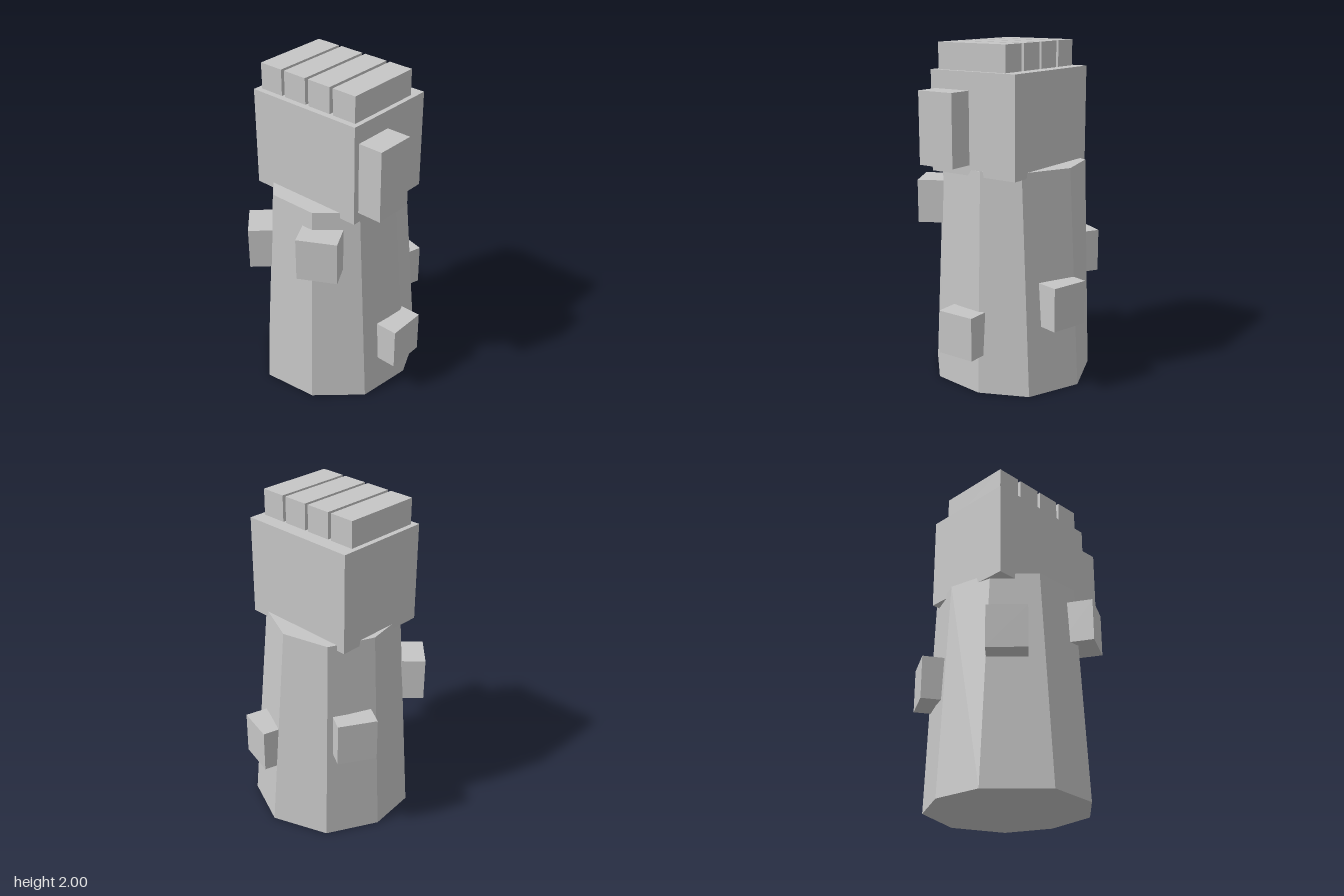
import * as THREE from 'three';

export function createModel() {
  const group = new THREE.Group();
  const stone = new THREE.MeshStandardMaterial({ color: 0xc6c6c6 });
  stone.name = 'stone grey';

  const add = (name, geometry) => {
    const mesh = new THREE.Mesh(geometry, stone);
    mesh.name = name;
    group.add(mesh);
    return mesh;
  };
  // Box given by its limits on each axis
  const addBox = (name, [x0, x1], [y0, y1], [z0, z1]) =>
    add(name, new THREE.BoxGeometry(x1 - x0, y1 - y0, z1 - z0))
      .position.set((x0 + x1) / 2, (y0 + y1) / 2, (z0 + z1) / 2);

  // Rough nine-sided tapering arm: [x, z] rings, counterclockwise from above
  const bottom = [[-0.17, 0.5], [0.163, 0.46], [0.405, 0.24], [0.449, -0.09], [0.325, -0.365],
    [0.012, -0.498], [-0.32, -0.37], [-0.475, -0.075], [-0.445, 0.225]];
  const top = [[-0.155, 0.403], [0.14, 0.403], [0.338, 0.23], [0.363, -0.05], [0.27, -0.27],
    [-0.02, -0.405], [-0.3, -0.335], [-0.41, -0.075], [-0.357, 0.2]];
  const armHeight = 1.296;
  const positions = [], normals = [];
  const addTriangle = (normal, ...corners) => corners.forEach((c) => {
    positions.push(c.x, c.y, c.z);
    normals.push(normal.x, normal.y, normal.z);
  });
  const up = new THREE.Vector3(0, 1, 0), down = new THREE.Vector3(0, -1, 0);
  const low = ([x, z]) => new THREE.Vector3(x, 0, z);
  const high = ([x, z]) => new THREE.Vector3(x, armHeight, z);
  bottom.forEach((b, i) => {
    const j = (i + 1) % bottom.length;
    const b0 = low(b), b1 = low(bottom[j]), t0 = high(top[i]), t1 = high(top[j]);
    // One flat normal for each slightly twisted side
    const side = t1.clone().sub(b0).cross(t0.clone().sub(b1)).normalize();
    addTriangle(side, b0, b1, t0);
    addTriangle(side, b1, t1, t0);
    addTriangle(up, high([0, 0]), t0, t1);
    addTriangle(down, low([0, 0]), b1, b0);
  });
  const arm = new THREE.BufferGeometry();
  arm.setAttribute('position', new THREE.Float32BufferAttribute(positions, 3));
  arm.setAttribute('normal', new THREE.Float32BufferAttribute(normals, 3));
  add('arm', arm);

  // Fist with four fingers on top and a thumb on its left
  addBox('fist', [-0.375, 0.357], [1.262, 1.847], [-0.285, 0.303]);
  for (let i = 0; i < 4; i++) {
    const x = -0.345 + i * 0.174;
    addBox('finger' + (i + 1), [x, x + 0.152], [1.8, 2], [-0.202, 0.268]);
  }
  addBox('thumb', [0.3, 0.507], [1.322, 1.742], [0.03, 0.268]);

  // Blocks jutting out of the arm: middle of the outer face (x, y, z), outward direction (x, z)
  const depth = 0.2;
  [
    [0.136, 0.53, -0.514, 0.26, -0.966],
    [-0.473, 0.71, -0.27, -0.867, -0.5],
    [-0.401, 0.883, 0.382, -0.72, 0.69],
    [0.245, 1.059, 0.487, 0.473, 0.881],
    [0.532, 0.357, 0.008, 1, 0],
  ].forEach(([x, y, z, dx, dz], i) => {
    const block = add('block' + (i + 1), new THREE.BoxGeometry(0.234, 0.258, depth));
    block.position.set(x - dx * depth / 2, y, z - dz * depth / 2);
    block.rotation.y = Math.atan2(dx, dz);
  });

  return group;
}
